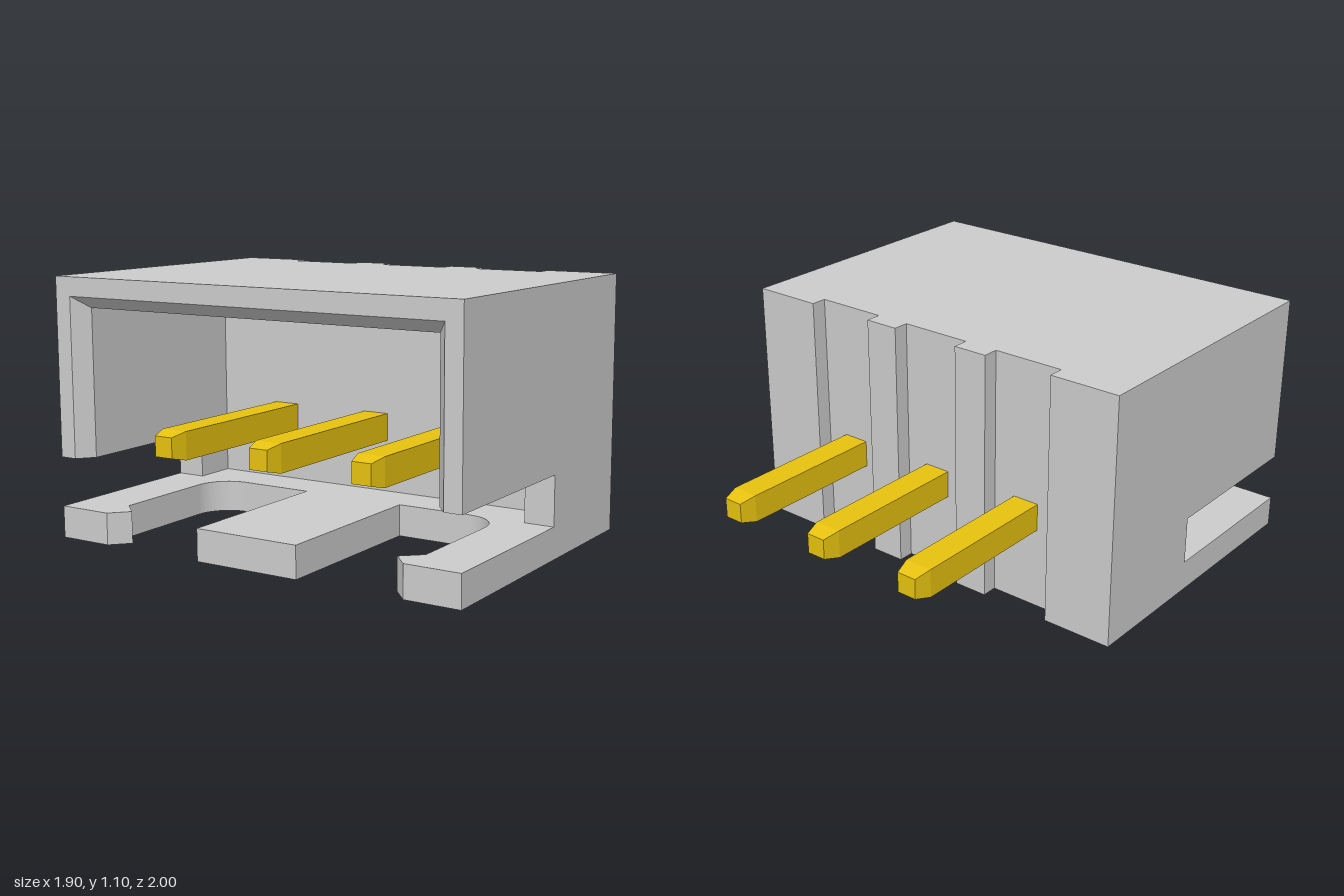
import * as THREE from 'three';

const W = 0.95, H = 1.1, FRONT = 1, BACK = -0.33;   // housing extents
const IN_X = 0.82, IN_Y = 0.97, IN_Z = 0.05;        // cavity walls, ceiling, rear
const FLOOR = 0.135, SLOT_TOP = 0.345, SLOT_Z = 0.24;
const PITCH = 0.475;

const plastic = new THREE.MeshStandardMaterial({ color: 0xcccccc });
const metal = new THREE.MeshStandardMaterial({ color: 0xe6c20f });

function add(parent, name, geometry, material) {
  const mesh = new THREE.Mesh(geometry, material);
  mesh.name = name;
  parent.add(mesh);
  return mesh;
}

// Plan outline (x, -z) raised from y0 to y1
function raise(shape, y0, y1) {
  return new THREE.ExtrudeGeometry(shape, { depth: y1 - y0, bevelEnabled: false, curveSegments: 12 })
    .rotateX(-Math.PI / 2).translate(0, y0, 0);
}

// Rear edge running from +x to -x, with one relief groove per pin
function rearEdge(shape) {
  shape.lineTo(W, -BACK);
  for (const x of [PITCH, 0, -PITCH]) {
    shape.lineTo(x + 0.16, -BACK);
    shape.lineTo(x + 0.16, 0.26);
    shape.lineTo(x - 0.16, 0.26);
    shape.lineTo(x - 0.16, -BACK);
  }
  shape.lineTo(-W, -BACK);
  shape.closePath();
}

// Floor with centre tongue and two hooked arms
function floorGeometry() {
  const r = 0.15, arm = 0.72, tongue = 0.238;
  const s = new THREE.Shape();
  s.moveTo(-W, -FRONT);
  s.lineTo(-0.71, -FRONT);
  s.lineTo(-0.64, -0.925);
  s.lineTo(-arm, -0.853);
  s.absarc(-arm + r, -SLOT_Z - r, r, Math.PI, Math.PI / 2, true);
  s.lineTo(-tongue, -SLOT_Z);
  s.lineTo(-tongue, -FRONT);
  s.lineTo(tongue, -FRONT);
  s.lineTo(tongue, -SLOT_Z);
  s.absarc(arm - r, -SLOT_Z - r, r, Math.PI / 2, 0, true);
  s.lineTo(arm, -0.853);
  s.lineTo(0.64, -0.925);
  s.lineTo(0.71, -FRONT);
  s.lineTo(W, -FRONT);
  rearEdge(s);
  return raise(s, 0, FLOOR);
}

function backGeometry() {
  const s = new THREE.Shape();
  s.moveTo(-W, -IN_Z);
  s.lineTo(W, -IN_Z);
  rearEdge(s);
  return raise(s, FLOOR, H);
}

// Roof and side walls in one U section, with the mouth flared at the front
function hoodGeometry() {
  const s = new THREE.Shape([
    [-W, SLOT_TOP], [-IN_X, SLOT_TOP], [-IN_X, IN_Y], [IN_X, IN_Y],
    [IN_X, SLOT_TOP], [W, SLOT_TOP], [W, H], [-W, H],
  ].map(([x, y]) => new THREE.Vector2(x, y)));
  const depth = FRONT - IN_Z;
  const g = new THREE.ExtrudeGeometry(s, { depth, steps: 2, bevelEnabled: false });
  const p = g.attributes.position;
  for (let i = 0; i < p.count; i++) {
    const x = p.getX(i), y = p.getY(i), z = p.getZ(i);
    if (z > depth * 0.9) {
      if (Math.abs(x) < IN_X + 0.01) p.setX(i, Math.sign(x) * 0.875);
      if (Math.abs(y - IN_Y) < 0.01) p.setY(i, 1.02);
    } else if (z > depth * 0.1) {
      p.setZ(i, depth - 0.067);
    }
  }
  g.translate(0, 0, IN_Z);
  g.computeVertexNormals();
  return g;
}

// Square pin with both ends tapered
function pinGeometry() {
  const z0 = -1, z1 = 0.91, half = (z1 - z0) / 2;
  const g = new THREE.BoxGeometry(0.12, 0.12, half * 2, 1, 1, 3).toNonIndexed();
  const p = g.attributes.position;
  for (let i = 0; i < p.count; i++) {
    const z = p.getZ(i);
    if (Math.abs(z) > half * 0.9) {
      p.setX(i, p.getX(i) * 0.72);
      p.setY(i, p.getY(i) * 0.72);
    } else {
      p.setZ(i, Math.sign(z) * (half - 0.07));
    }
  }
  g.translate(0, 0, (z0 + z1) / 2);
  g.computeVertexNormals();
  return g;
}

export function createModel() {
  const model = new THREE.Group();
  model.name = 'pinHeader';

  const housing = new THREE.Group();
  housing.name = 'housing';
  model.add(housing);
  add(housing, 'floor', floorGeometry(), plastic);
  add(housing, 'backWall', backGeometry(), plastic);
  add(housing, 'hood', hoodGeometry(), plastic);

  // Short wall pieces closing the rear end of the side slots
  for (const side of [1, -1]) {
    const web = add(housing, side > 0 ? 'leftSlotEnd' : 'rightSlotEnd',
      new THREE.BoxGeometry(W - IN_X, SLOT_TOP - FLOOR, SLOT_Z - IN_Z), plastic);
    web.position.set(side * (W + IN_X) / 2, (FLOOR + SLOT_TOP) / 2, (IN_Z + SLOT_Z) / 2);
  }

  const pin = pinGeometry();
  [-PITCH, 0, PITCH].forEach((x, i) => {
    add(model, 'pin' + (i + 1), pin, metal).position.set(x, 0.42, 0);
  });
  return model;
}
